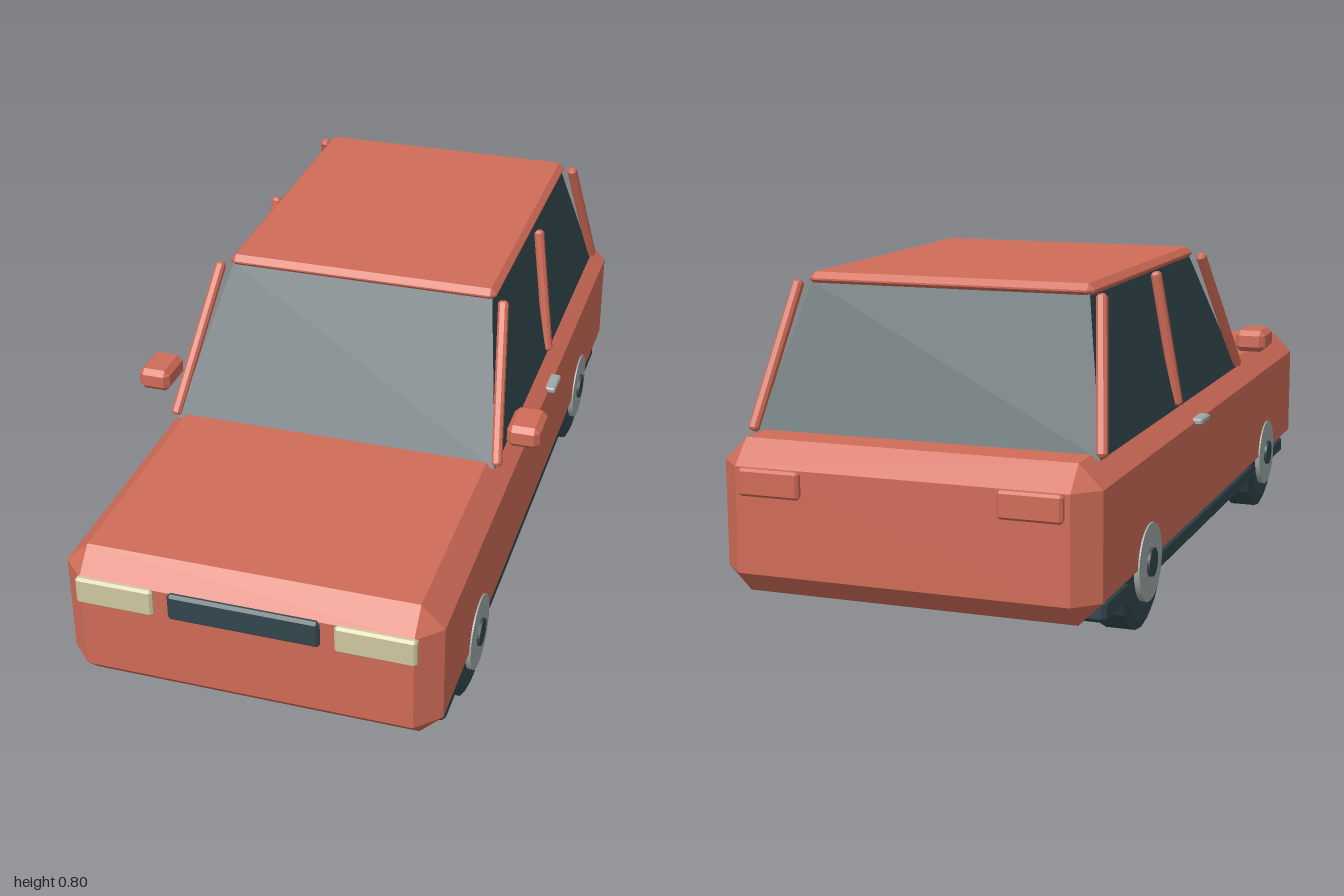
import * as THREE from 'three';
import { ConvexGeometry } from 'three/addons/geometries/ConvexGeometry.js';

const material = (name, color) => {
  const m = new THREE.MeshStandardMaterial({ color });
  m.name = name;
  return m;
};

// Box with every edge cut flat by c
function chamferBox(w, h, d, c) {
  const points = [];
  for (const x of [-1, 1]) for (const y of [-1, 1]) for (const z of [-1, 1]) {
    const [a, b, e] = [w / 2, h / 2, d / 2];
    points.push(
      new THREE.Vector3(x * a, y * (b - c), z * (e - c)),
      new THREE.Vector3(x * (a - c), y * b, z * (e - c)),
      new THREE.Vector3(x * (a - c), y * (b - c), z * e));
  }
  return new ConvexGeometry(points);
}

export function createModel() {
  const car = new THREE.Group();
  car.name = 'car';
  const paint = material('coral paint', 0xd06c58);
  const dark = material('dark slate', 0x32474e);
  const metal = material('pale metal', 0x9fa9a7);
  const lamp = material('cream lamp', 0xd0c8a0);

  const add = (name, geometry, mat, x = 0, y = 0, z = 0, parent = car) => {
    const mesh = new THREE.Mesh(geometry, mat);
    mesh.name = name;
    mesh.position.set(x, y, z);
    parent.add(mesh);
    return mesh;
  };

  // Lower body, floor pan and roof
  add('body', chamferBox(0.88, 0.35, 1.97, 0.054), paint, 0, 0.285, 0);
  add('underbody', chamferBox(0.862, 0.052, 1.765, 0.01), dark, 0, 0.128, 0);
  add('roof', chamferBox(0.685, 0.032, 0.835, 0.014), paint, 0, 0.786, -0.291);

  // Glasshouse tapering towards the roof
  const cabin = [];
  for (const s of [-1, 1]) {
    cabin.push(new THREE.Vector3(s * 0.408, 0.45, 0.357), new THREE.Vector3(s * 0.408, 0.45, -0.852),
      new THREE.Vector3(s * 0.333, 0.78, 0.118), new THREE.Vector3(s * 0.333, 0.78, -0.7));
  }
  add('windows', new ConvexGeometry(cabin), dark);

  // Grille
  add('grille', chamferBox(0.352, 0.068, 0.03, 0.007), dark, 0, 0.374, 0.98);

  // Slanted roof posts: bottom and top points on the left side
  const posts = {
    frontPillar: [[0.411, 0.463, 0.35], [0.364, 0.775, 0.13]],
    middlePillar: [[0.408, 0.463, -0.246], [0.362, 0.775, -0.284]],
    rearPillar: [[0.411, 0.463, -0.85], [0.364, 0.775, -0.71]],
  };

  // Tyre profile revolved about the axle
  const tyreProfile = [[0, -0.043], [0.135, -0.043], [0.156, -0.034], [0.156, 0.034], [0.135, 0.043], [0, 0.043]]
    .map(([r, h]) => new THREE.Vector2(r, h));
  const tyre = new THREE.LatheGeometry(tyreProfile, 20).toNonIndexed();
  tyre.computeVertexNormals();

  for (const [side, s] of [['left', 1], ['right', -1]]) {
    for (const [name, ends] of Object.entries(posts)) {
      const [a, b] = ends.map(([x, y, z]) => new THREE.Vector3(s * x, y, z));
      const dir = b.clone().sub(a);
      const post = add(`${side} ${name}`, chamferBox(0.024, dir.length() + 0.015, 0.024, 0.006), paint);
      post.position.copy(a).lerp(b, 0.5);
      post.quaternion.setFromUnitVectors(new THREE.Vector3(0, 1, 0), dir.normalize());
    }

    add(`${side} mirror`, chamferBox(0.08, 0.056, 0.112, 0.013), paint, s * 0.47, 0.541, 0.296);
    add(`${side} door handle`, chamferBox(0.035, 0.016, 0.08, 0.004), metal, s * 0.44, 0.406, -0.157);
    add(`${side} headlight`, chamferBox(0.184, 0.068, 0.032, 0.006), lamp, s * 0.302, 0.374, 0.98);
    add(`${side} tail light`, chamferBox(0.145, 0.062, 0.034, 0.006), paint, s * 0.301, 0.374, -0.983);

    // Wheels with hub disc and dark cap
    for (const [end, z] of [['front', 0.61], ['rear', -0.587]]) {
      const wheel = new THREE.Group();
      wheel.name = `${side} ${end} wheel`;
      wheel.position.set(s * 0.388, 0.16, z);
      wheel.rotation.z = -s * Math.PI / 2;
      car.add(wheel);
      add('tyre', tyre, dark, 0, 0, 0, wheel);
      add('hub', new THREE.CylinderGeometry(0.091, 0.091, 0.02, 24), metal, 0, 0.046, 0, wheel);
      add('hub cap', new THREE.CylinderGeometry(0.034, 0.034, 0.03, 12), dark, 0, 0.048, 0, wheel);
    }
  }
  return car;
}
